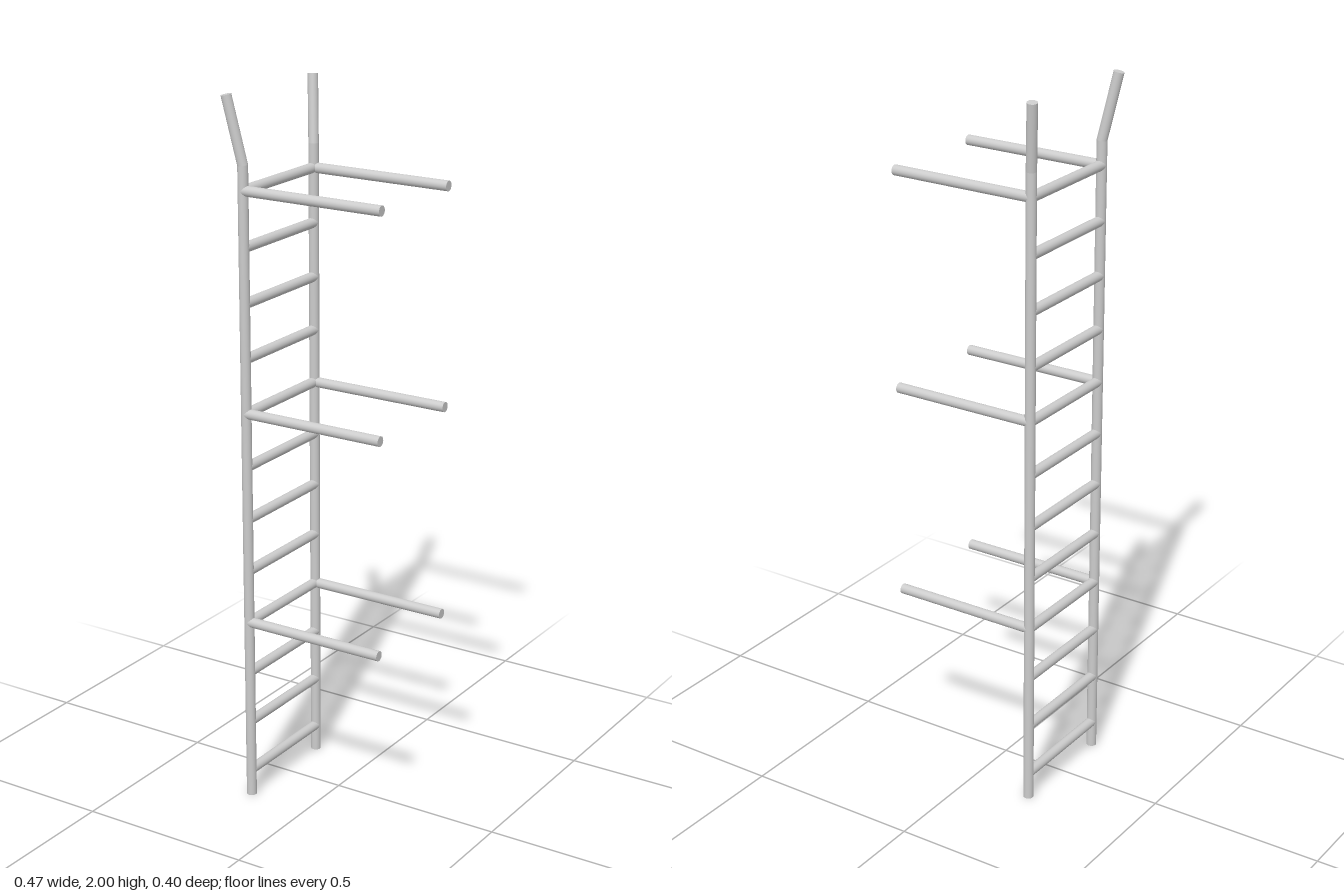
import * as THREE from 'three';

const RADIUS = 0.0142;
const RAIL_X = -0.185;
const FRONT_Z = 0.17;
const BACK_Z = -0.164;
const BEND_Y = 1.815;
const UP = new THREE.Vector3(0, 1, 0);

export function createModel() {
  const model = new THREE.Group();
  model.name = 'wallLadder';
  const metal = new THREE.MeshStandardMaterial({ color: 0xcccccc });

  // Round bar between two points
  function bar(name, from, to, parent = model) {
    const a = new THREE.Vector3(...from);
    const b = new THREE.Vector3(...to);
    const dir = b.clone().sub(a);
    const mesh = new THREE.Mesh(new THREE.CylinderGeometry(RADIUS, RADIUS, dir.length(), 24), metal);
    mesh.position.copy(a).add(b).multiplyScalar(0.5);
    mesh.quaternion.setFromUnitVectors(UP, dir.normalize());
    mesh.name = name;
    parent.add(mesh);
  }

  // Side rails, each with a flared handhold at the top
  const rails = [
    { name: 'frontRail', z: FRONT_Z, tip: [-0.222, 1.997, 0.187] },
    { name: 'backRail', z: BACK_Z, tip: [-0.203, 1.998, -0.189] },
  ];
  for (const { name, z, tip } of rails) {
    const rail = new THREE.Group();
    rail.name = name;
    const bend = [RAIL_X, BEND_Y, z];
    bar('upright', [RAIL_X, 0, z], bend, rail);
    bar('flaredHandhold', bend, tip, rail);
    // Rounded elbow closes the bend
    const elbow = new THREE.Mesh(new THREE.SphereGeometry(RADIUS, 24, 12), metal);
    elbow.name = 'elbow';
    elbow.position.set(...bend);
    rail.add(elbow);
    model.add(rail);
  }

  // Rungs, with a pair of wall brackets at every fourth one
  for (let i = 0; i < 12; i++) {
    const y = 0.076 + i * 0.152;
    bar('rung', [RAIL_X, y, BACK_Z], [RAIL_X, y, FRONT_Z]);
    if (i % 4 === 3) {
      for (const z of [BACK_Z, FRONT_Z]) bar('wallBracket', [RAIL_X, y, z], [0.236, y, z]);
    }
  }
  return model;
}
